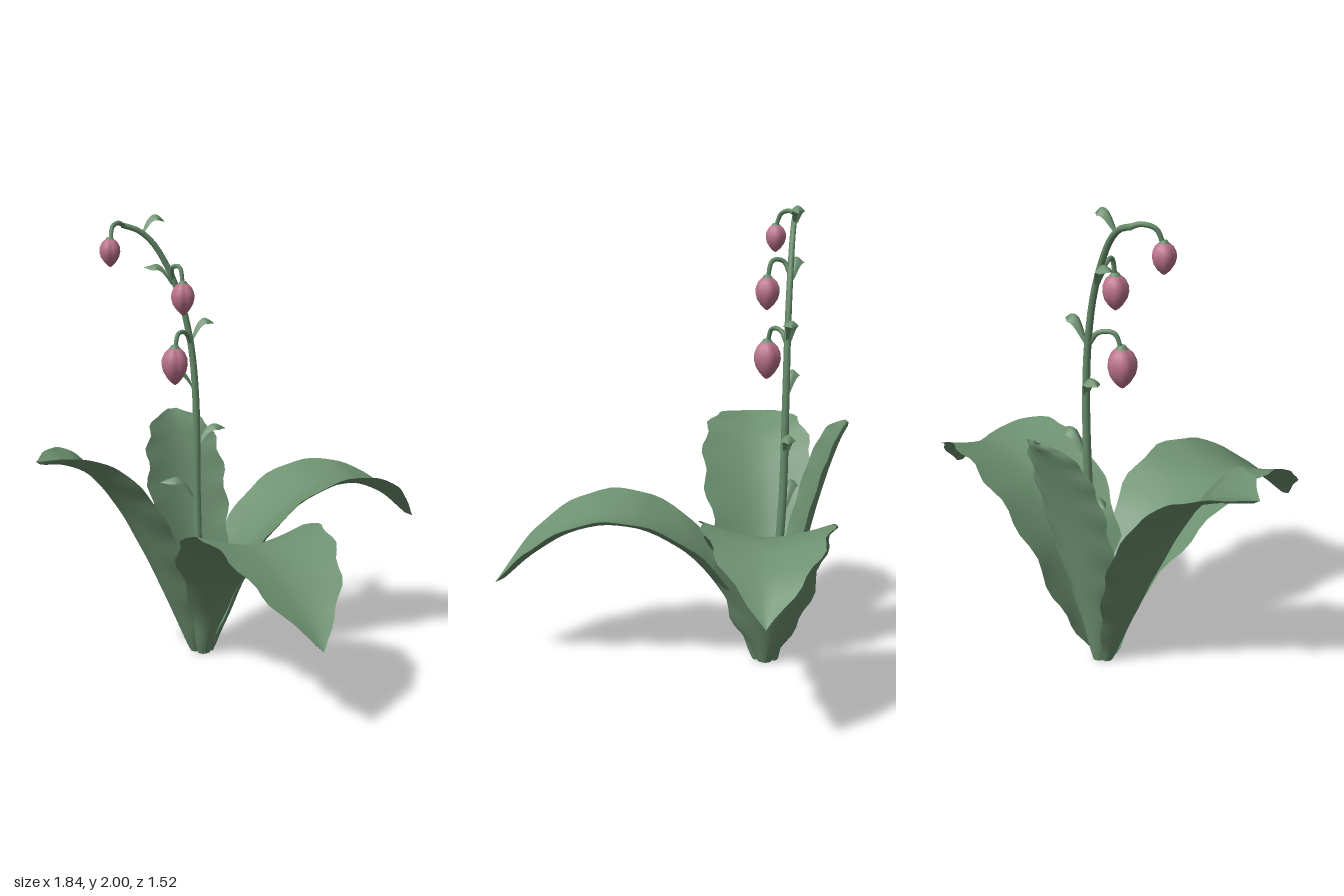
import * as THREE from 'three';

const leafGreen = new THREE.MeshStandardMaterial({ color: 0x6d9170, side: THREE.DoubleSide });
leafGreen.name = 'leaf green';
const stemGreen = new THREE.MeshStandardMaterial({ color: 0x668c6a, side: THREE.DoubleSide });
stemGreen.name = 'stem green';
const budPink = new THREE.MeshStandardMaterial({ color: 0xbb738c });
budPink.name = 'bud pink';

const vec = (p) => new THREE.Vector3(p[0], p[1], p[2]);
const spline = (pts) => new THREE.CatmullRomCurve3(pts, false, 'catmullrom', 0.5);

// Thin lens-shaped blade swept along a midrib; stations are [x, y, z, halfWidth]
function bladeGeometry(stations, { along = 34, across = 8, cup, wave = 0, thick = 0.015, phase = 0 }) {
  const rib = spline(stations.map(vec));
  const width = spline(stations.map((s) => new THREE.Vector3(s[3], 0, 0)));
  const heading = vec(stations[stations.length - 1]).sub(vec(stations[0])).setY(0).normalize();
  const side = new THREE.Vector3(heading.z, 0, -heading.x);
  const pos = [], index = [];
  for (const layer of [0, 1]) {
    const start = pos.length / 3;
    for (let i = 0; i <= along; i++) {
      const t = i / along;
      const p = rib.getPoint(t);
      const n = rib.getTangent(t).cross(side).normalize();
      const w = Math.max(width.getPoint(t).x, 0.001);
      const c = THREE.MathUtils.lerp(cup[0], cup[1], Math.min(1, t * 2));
      for (let j = 0; j <= across; j++) {
        const u = (j / across) * 2 - 1;
        const ripple = wave * Math.sin(t * 46 + phase + (u > 0 ? 2 : 0)) * u * u * Math.min(1, w * 6);
        const lift = w * c * Math.pow(Math.abs(u), 1.5)
          - layer * thick * Math.sqrt(Math.max(0, 1 - u * u)) * Math.min(1, w * 30);
        const q = p.clone().addScaledVector(side, u * w + Math.sign(u) * ripple).addScaledVector(n, lift);
        pos.push(q.x, Math.max(0, q.y), q.z);
      }
    }
    for (let i = 0; i < along; i++) {
      for (let j = 0; j < across; j++) {
        const a = start + i * (across + 1) + j, b = a + across + 1;
        if (layer === 0) index.push(a, b, a + 1, b, b + 1, a + 1);
        else index.push(a, a + 1, b, b, a + 1, b + 1);
      }
    }
  }
  const g = new THREE.BufferGeometry();
  g.setAttribute('position', new THREE.Float32BufferAttribute(pos, 3));
  g.setIndex(index);
  g.computeVertexNormals();
  return g;
}

// Tube whose radius tapers from r0 to r1
function taperedTube(points, r0, r1, segments, sides) {
  const curve = new THREE.CatmullRomCurve3(points.map(vec));
  const g = new THREE.TubeGeometry(curve, segments, 1, sides);
  const a = g.attributes.position, v = new THREE.Vector3();
  for (let k = 0; k < a.count; k++) {
    const t = Math.floor(k / (sides + 1)) / segments;
    const c = curve.getPointAt(t);
    v.fromBufferAttribute(a, k).sub(c).multiplyScalar(THREE.MathUtils.lerp(r0, r1, t)).add(c);
    a.setXYZ(k, v.x, Math.max(0, v.y), v.z);
  }
  return g;
}

// Five-lobed closed bud, one unit tall and one unit in radius, pointing down
function budGeometry() {
  const profile = [[0, -0.5], [0.2, -0.46], [0.55, -0.33], [0.85, -0.16], [0.98, 0.02],
    [0.95, 0.18], [0.75, 0.34], [0.42, 0.45], [0, 0.49]];
  const g = new THREE.LatheGeometry(profile.map((p) => new THREE.Vector2(p[0], p[1])), 30);
  const a = g.attributes.position;
  for (let k = 0; k < a.count; k++) {
    const angle = Math.atan2(a.getX(k), a.getZ(k));
    const f = 0.9 + 0.11 * Math.abs(Math.sin(2.5 * angle));
    a.setXYZ(k, a.getX(k) * f, a.getY(k), a.getZ(k) * f);
  }
  g.computeVertexNormals();
  return g;
}

export function createModel() {
  const model = new THREE.Group();
  const add = (name, geometry, material) => {
    const mesh = new THREE.Mesh(geometry, material);
    mesh.name = name;
    model.add(mesh);
    return mesh;
  };

  // Four broad basal leaves
  const leaves = {
    frontLeaf: [[-0.16, 0, -0.38, 0.03], [-0.14, 0.26, -0.28, 0.105], [-0.11, 0.5, -0.1, 0.235],
      [-0.07, 0.64, 0.14, 0.28], [-0.035, 0.635, 0.37, 0.25], [0.0, 0.52, 0.58, 0.165], [0.04, 0.36, 0.757, 0]],
    leftLeaf: [[-0.12, 0, -0.43, 0.035], [-0.03, 0.22, -0.44, 0.165], [0.1, 0.5, -0.455, 0.235],
      [0.3, 0.7, -0.475, 0.27], [0.53, 0.76, -0.49, 0.25], [0.74, 0.7, -0.515, 0.17], [0.917, 0.55, -0.53, 0]],
    rightLeaf: [[-0.2, 0, -0.43, 0.03], [-0.3, 0.24, -0.4, 0.12], [-0.41, 0.49, -0.37, 0.205],
      [-0.53, 0.72, -0.34, 0.25], [-0.67, 0.89, -0.31, 0.235], [-0.8, 0.955, -0.28, 0.16], [-0.925, 0.97, -0.23, 0]],
    backLeaf: [[-0.165, 0, -0.47, 0.03], [-0.17, 0.22, -0.51, 0.1], [-0.18, 0.45, -0.56, 0.165],
      [-0.19, 0.68, -0.61, 0.19], [-0.2, 0.88, -0.665, 0.182], [-0.21, 1.02, -0.715, 0.135], [-0.22, 1.09, -0.755, 0.02]],
  };
  Object.entries(leaves).forEach(([name, stations], i) => {
    const cup = [name === 'frontLeaf' ? 0.3 : 0.45, 0.22];
    add(name, bladeGeometry(stations, { cup, wave: 0.012, phase: i * 1.7 }), leafGreen);
  });

  // Arching flower stem
  add('stem', taperedTube([[-0.165, 0, -0.43], [-0.165, 0.35, -0.465], [-0.165, 0.75, -0.49], [-0.165, 1.18, -0.495],
    [-0.19, 1.45, -0.495], [-0.25, 1.68, -0.495], [-0.35, 1.87, -0.495], [-0.42, 1.93, -0.495],
    [-0.49, 1.952, -0.495]], 0.022, 0.012, 60, 10), stemGreen);

  // Hooked bud stalks
  Object.entries({
    topBudStalk: [[-0.48, 1.95, -0.495], [-0.512, 1.962, -0.465], [-0.545, 1.945, -0.425], [-0.557, 1.885, -0.402]],
    middleBudStalk: [[-0.265, 1.71, -0.495], [-0.275, 1.765, -0.465], [-0.25, 1.77, -0.42], [-0.24, 1.69, -0.4]],
    lowerBudStalk: [[-0.185, 1.42, -0.495], [-0.215, 1.475, -0.465], [-0.26, 1.475, -0.42], [-0.28, 1.4, -0.4]],
  }).forEach(([name, points]) => add(name, taperedTube(points, 0.011, 0.009, 16, 8), stemGreen));

  // Hanging buds, each under a small cap: x, y, z, radius, height
  const bud = budGeometry();
  [['topBud', -0.56, 1.838, -0.402, 0.047, 0.125], ['middleBud', -0.24, 1.632, -0.4, 0.054, 0.147],
    ['lowerBud', -0.28, 1.337, -0.4, 0.061, 0.172]].forEach(([name, x, y, z, r, h]) => {
    const mesh = add(name, bud, budPink);
    mesh.position.set(x, y, z);
    mesh.scale.set(r, h, r);
    const cap = add(name + 'Cap', new THREE.CylinderGeometry(r * 0.25, r * 0.45, h * 0.1, 10), stemGreen);
    cap.position.set(x, y + h * 0.48, z);
  });

  // Small drooping bracts along the stem: start, crest and tip in x, y
  [[-0.17, 0.705, -0.25, 0.808, -0.33, 0.785], [-0.16, 0.955, -0.085, 1.05, -0.02, 1.025],
    [-0.17, 1.215, -0.23, 1.305, -0.29, 1.285], [-0.185, 1.435, -0.125, 1.535, -0.07, 1.51],
    [-0.265, 1.69, -0.33, 1.78, -0.39, 1.765], [-0.4, 1.92, -0.345, 1.997, -0.293, 1.965],
  ].forEach(([x0, y0, x1, y1, x2, y2], i) => {
    const stations = [[x0, y0, -0.5, 0.01], [(x0 + x1) / 2, y0 + (y1 - y0) * 0.7, -0.51, 0.023],
      [x1, y1, -0.514, 0.034], [(x1 + x2) / 2, y1 - 0.006, -0.517, 0.028], [x2, y2, -0.522, 0]];
    add('bract' + (i + 1), bladeGeometry(stations, { along: 12, across: 6, cup: [-0.6, -0.8], thick: 0.01 }), leafGreen);
  });

  return model;
}
